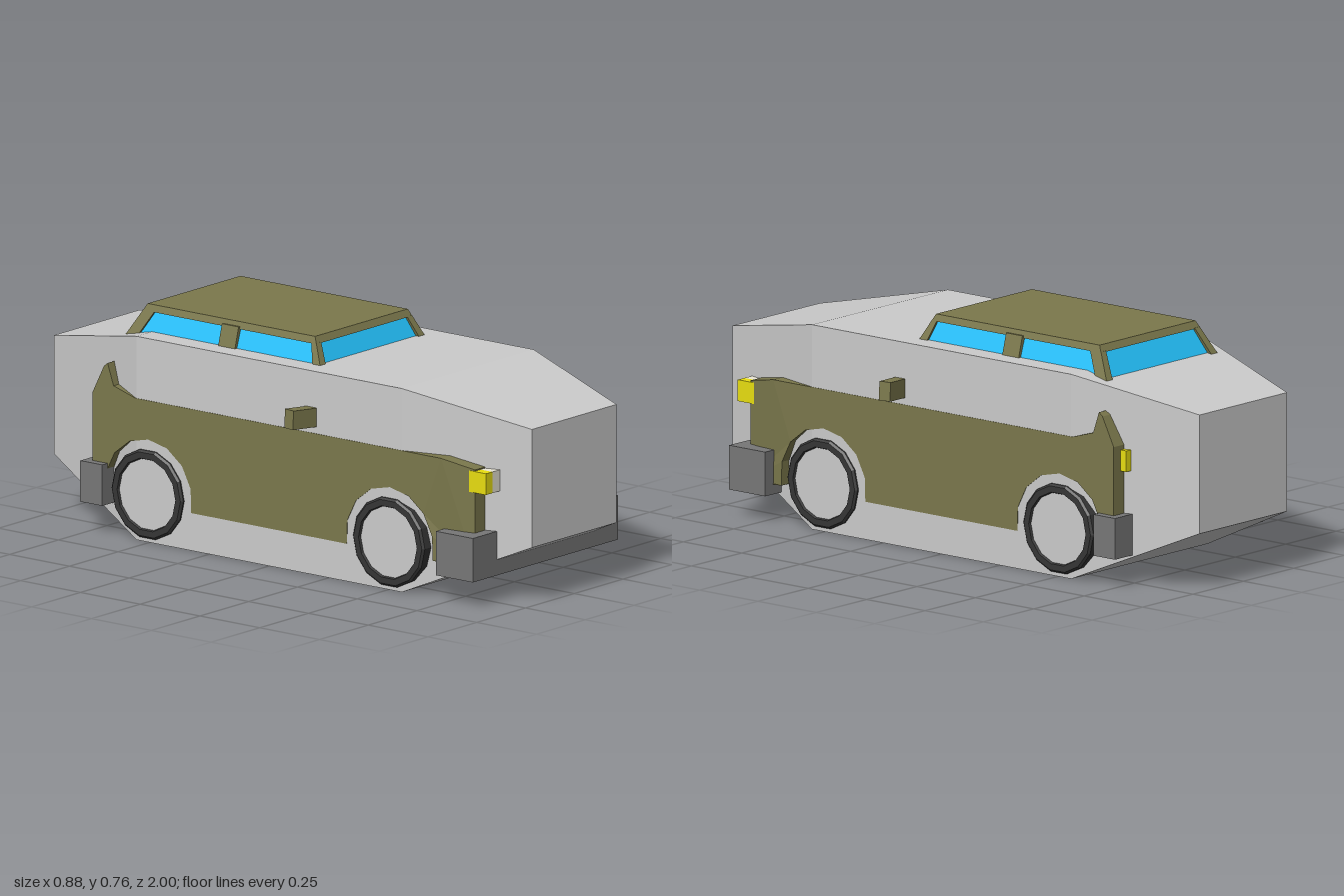
import * as THREE from 'three';

const mat = (color) => new THREE.MeshStandardMaterial({ color, flatShading: true });

export function createModel() {
  const car = new THREE.Group();
  car.name = 'car';
  const grey = mat(0xcccccc), olive = mat(0x7b784c), glass = mat(0x24c4ff), yellow = mat(0xe8de10);
  const cream = mat(0xeae6d6), rubber = mat(0x363636), dark = mat(0x777777);

  const add = (name, geometry, material) => {
    const mesh = new THREE.Mesh(geometry, material);
    mesh.name = name;
    car.add(mesh);
    return mesh;
  };

  // Six-sided block between a bottom and a top rectangle [x0, x1, z0, z1]
  const block = (name, material, y0, bottom, y1, top = bottom) => {
    const g = new THREE.BoxGeometry(1, 1, 1);
    const p = g.attributes.position;
    for (let i = 0; i < p.count; i++) {
      const up = p.getY(i) > 0, r = up ? top : bottom;
      p.setXYZ(i, r[p.getX(i) > 0 ? 1 : 0], up ? y1 : y0, r[p.getZ(i) > 0 ? 3 : 2]);
    }
    g.computeVertexNormals();
    return add(name, g, material);
  };
  const flip = ([x0, x1, z0, z1], s) => (s > 0 ? [x0, x1, z0, z1] : [-x1, -x0, z0, z1]);

  // Outer shell: a long box whose two ends taper in
  const shell = new THREE.BoxGeometry(2, 2, 2, 1, 1, 3);
  const sp = shell.attributes.position;
  for (let i = 0; i < sp.count; i++) {
    const z = sp.getZ(i), end = Math.abs(z) > 0.9, up = sp.getY(i) > 0;
    sp.setXYZ(i, Math.sign(sp.getX(i)) * (end ? 0.217 : 0.338),
      up ? (end ? 0.59 : 0.68) : (end ? 0.195 : 0), Math.sign(z) * (end ? 1 : 0.555));
  }
  shell.computeVertexNormals();
  add('shell', shell, grey);

  // Body: side profile with wheel arches and tail fins, narrowed at the nose
  const wheelZ = 0.505, wheelY = 0.16, archR = 0.183;
  const profile = new THREE.Shape();
  profile.moveTo(0.84, 0.125);
  profile.lineTo(0.84, 0.448);
  profile.lineTo(0.72, 0.473);
  profile.lineTo(-0.56, 0.473);
  profile.lineTo(-0.65, 0.5);
  profile.lineTo(-0.675, 0.572);
  profile.lineTo(-0.69, 0.56);
  profile.lineTo(-0.738, 0.465);
  profile.lineTo(-0.738, 0.125);
  for (const c of [-wheelZ, wheelZ]) {
    for (let i = 0; i <= 8; i++) {
      const a = Math.PI * 1.06 - (i / 8) * Math.PI * 1.12;
      profile.lineTo(c + archR * Math.cos(a), wheelY + archR * Math.sin(a));
    }
  }
  profile.lineTo(0.72, 0.125);
  const width = 0.679;
  const body = new THREE.ExtrudeGeometry(profile, { depth: width, bevelEnabled: false });
  body.translate(0, 0, -width / 2).rotateY(-Math.PI / 2);
  const bp = body.attributes.position;
  for (let i = 0; i < bp.count; i++) {
    if (bp.getZ(i) > 0.8) bp.setX(i, Math.sign(bp.getX(i)) * 0.313);
  }
  body.computeVertexNormals();
  add('body', body, olive);

  // Cabin: glass core, roof and pillars
  block('cabinGlass', glass, 0.6, [-0.285, 0.285, -0.67, 0.18], 0.75, [-0.236, 0.236, -0.59, 0.11]);
  block('roof', olive, 0.742, [-0.246, 0.246, -0.603, 0.122], 0.765, [-0.238, 0.238, -0.59, 0.11]);
  for (const s of [1, -1]) {
    block('frontPillar', olive, 0.66, flip([0.245, 0.275, 0.13, 0.166], s),
      0.745, flip([0.22, 0.245, 0.1, 0.121], s));
    block('rearPillar', olive, 0.66, flip([0.245, 0.275, -0.652, -0.605], s),
      0.745, flip([0.22, 0.245, -0.602, -0.555], s));
    block('middlePillar', olive, 0.66, flip([0.24, 0.274, -0.27, -0.2], s),
      0.75, flip([0.22, 0.25, -0.27, -0.2], s));
  }

  // Bumpers
  block('frontBumper', dark, 0.09, [-0.373, 0.373, 0.725, 0.88], 0.237);
  block('rearBumper', dark, 0.1, [-0.367, 0.367, -0.767, -0.675], 0.237);

  // Tyre outline, walked around its four corners
  const tyreProfile = [[0.118, -0.035], [0.15, -0.035], [0.15, 0.028], [0.143, 0.035], [0.122, 0.035],
    [0.118, 0.025], [0.118, -0.035]].map(([r, h]) => new THREE.Vector2(r, h));

  for (const s of [1, -1]) {
    // Lamps
    block('headlamp', cream, 0.373, flip([0.247, 0.285, 0.82, 0.89], s), 0.444);
    block('indicator', yellow, 0.373, flip([0.285, 0.318, 0.82, 0.89], s), 0.444);
    block('tailLamp', yellow, 0.38, flip([0.26, 0.305, -0.762, -0.73], s), 0.45);

    // Door mirror, swept slightly back and up
    const mirror = add('mirror', new THREE.BoxGeometry(0.11, 0.063, 0.042), olive);
    mirror.position.set(s * 0.38, 0.53, 0.17);
    mirror.rotation.set(0, s * 0.17, s * 0.06);

    // Wheels
    for (const z of [wheelZ, -wheelZ]) {
      const tyre = add('tyre', new THREE.LatheGeometry(tyreProfile, 14), rubber);
      const hub = add('hub', new THREE.CylinderGeometry(0.12, 0.12, 0.06, 14), grey);
      tyre.position.set(s * 0.315, wheelY, z);
      hub.position.set(s * 0.312, wheelY, z);
      tyre.rotation.z = hub.rotation.z = -s * Math.PI / 2;
    }
  }
  return car;
}
